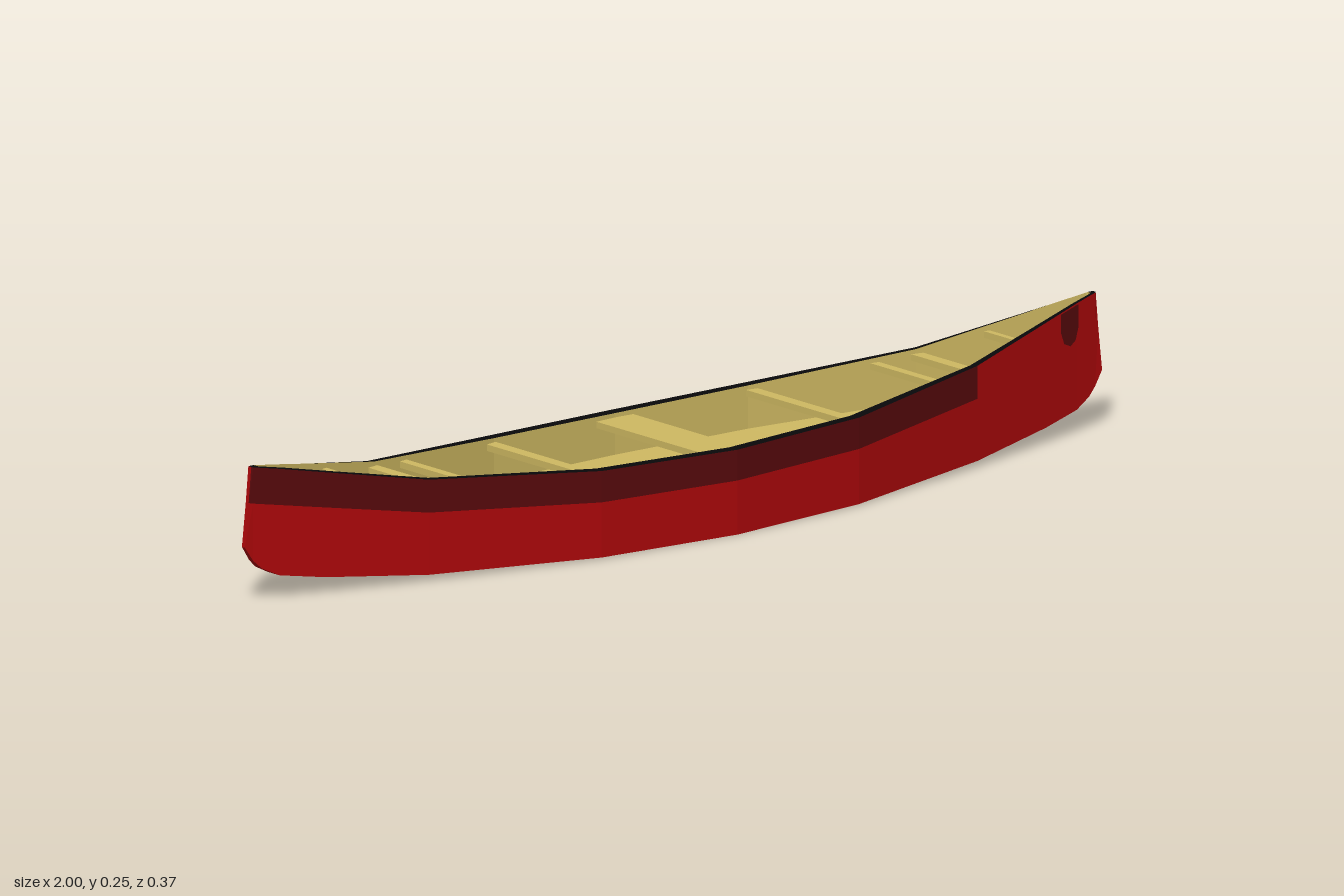
import * as THREE from 'three';

const mat = (name, color) => {
  const m = new THREE.MeshStandardMaterial({ color, side: THREE.DoubleSide });
  m.name = name;
  return m;
};

// half-length stations: x, half width, keel height, band height, gunwale height
const HALF = [
  [0, 0.183, 0, 0.1, 0.157],
  [0.3, 0.163, 0.003, 0.105, 0.163],
  [0.64, 0.087, 0.012, 0.127, 0.188],
  [0.84, 0.0388, 0.031, 0.16, 0.225],
  [0.93, 0.0172, 0.045, 0.175, 0.242],
  [0.965, 0.0095, 0.062, 0.181, 0.248],
  [0.982, 0.006, 0.078, 0.184, 0.251],
  [1, 0.004, 0.105, 0.186, 0.252],
];
const STATIONS = [
  ...HALF.slice(1).reverse().map(([x, ...rest]) => [-x, ...rest]),
  ...HALF,
];
const LAST = STATIONS.length - 1;
const KEEL = 2, BAND = 3, TOP = 4;
const STEM_X = { [KEEL]: 1, [BAND]: 0.991, [TOP]: 0.985 }; // raked stem
const FLOOR_LIFT = 0.08;

// one line of points along the boat
function row(key, side, inner = false, lift = 0) {
  return STATIONS.map((s) => {
    const x = Math.sign(s[0]) * Math.min(Math.abs(s[0]), STEM_X[key]);
    return new THREE.Vector3(x * (inner ? 0.988 : 1), s[key] + lift, side * s[1] * (inner ? 0.875 : 1));
  });
}

// faceted surface between two lines of points
function strip(a, b) {
  const pos = [];
  for (let i = 0; i < a.length - 1; i++) {
    for (const p of [a[i], a[i + 1], b[i + 1], a[i], b[i + 1], b[i]]) pos.push(p.x, p.y, p.z);
  }
  const g = new THREE.BufferGeometry();
  g.setAttribute('position', new THREE.Float32BufferAttribute(pos, 3));
  g.computeVertexNormals();
  return g;
}

// linear lookup of a station column
function at(x, col) {
  const ax = Math.abs(x);
  const i = Math.max(1, HALF.findIndex((s) => s[0] >= ax));
  const t = (ax - HALF[i - 1][0]) / (HALF[i][0] - HALF[i - 1][0]);
  return THREE.MathUtils.lerp(HALF[i - 1][col], HALF[i][col], t);
}

export function createModel() {
  const group = new THREE.Group();
  const red = mat('hull red', 0xae070a);
  const dark = mat('dark red band', 0x58090c);
  const tan = mat('tan interior', 0xcfb962);
  const black = mat('black rim', 0x08080a);

  const add = (name, geometry, material) => {
    const mesh = new THREE.Mesh(geometry, material);
    mesh.name = name;
    group.add(mesh);
    return mesh;
  };
  const skin = (name, a, b, side, material) =>
    add(name, side > 0 ? strip(a, b) : strip(b, a), material);

  // sides, rim and inner walls
  for (const side of [1, -1]) {
    const word = side > 0 ? 'front' : 'back';
    const keel = row(KEEL, side), band = row(BAND, side), top = row(TOP, side);
    const topIn = row(TOP, side, true), floorIn = row(KEEL, side, true, FLOOR_LIFT);
    skin(word + 'LowerHull', keel, band, side, red);

    // the band gives way to plain red near the +x end
    const cut = side > 0 ? LAST - 5 : LAST - 3;
    skin(word + 'Band', band.slice(0, cut + 1), top.slice(0, cut + 1), side, dark);
    skin(word + 'BowPanel', band.slice(cut), top.slice(cut), side, red);

    skin(word + 'Rim', top, topIn, side, black);
    skin(word + 'InnerWall', topIn, floorIn, side, tan);
  }

  // bottom and floor
  add('hullBottom', strip(row(KEEL, -1), row(KEEL, 1)), red);
  add('floor', strip(row(KEEL, 1, true, FLOOR_LIFT), row(KEEL, -1, true, FLOOR_LIFT)), tan);

  // stems closing both ends
  for (const [end, i] of [['left', LAST], ['right', 0]]) {
    const across = (key, inner, lift) => {
      const pair = [row(key, 1, inner, lift)[i], row(key, -1, inner, lift)[i]];
      return i === LAST ? pair : pair.reverse();
    };
    add(end + 'LowerStem', strip(across(KEEL), across(BAND)), red);
    add(end + 'UpperStem', strip(across(BAND), across(TOP)), red);
    add(end + 'StemRim', strip(across(TOP), across(TOP, true)), black);
    add(end + 'InnerStem', strip(across(TOP, true), across(KEEL, true, FLOOR_LIFT)), tan);
  }

  // crossbars: position and width along x
  const bar = (name, x, width) => {
    const geo = new THREE.BoxGeometry(width, 0.012, at(x, 1) * 1.8);
    add(name, geo, tan).position.set(x, at(x, TOP) - 0.014, 0);
  };
  bar('centreThwart', -0.002, 0.086);
  for (const s of [1, -1]) {
    bar('thwart', s * 0.304, 0.024);
    bar('innerSeatBar', s * 0.55, 0.018);
    bar('outerSeatBar', s * 0.635, 0.024);
    bar('endBar', s * 0.773, 0.012);
  }

  // small dark mark on the front side near the +x end
  const mark = (pts) => pts.map(([x, y]) => new THREE.Vector3(x, y, at(x, 1) + 0.0015));
  add('bowMark', strip(
    mark([[0.882, 0.198], [0.892, 0.175], [0.91, 0.167], [0.925, 0.175], [0.934, 0.2]]),
    mark([[0.882, 0.231], [0.892, 0.233], [0.91, 0.236], [0.925, 0.239], [0.934, 0.24]]),
  ), dark);

  return group;
}
